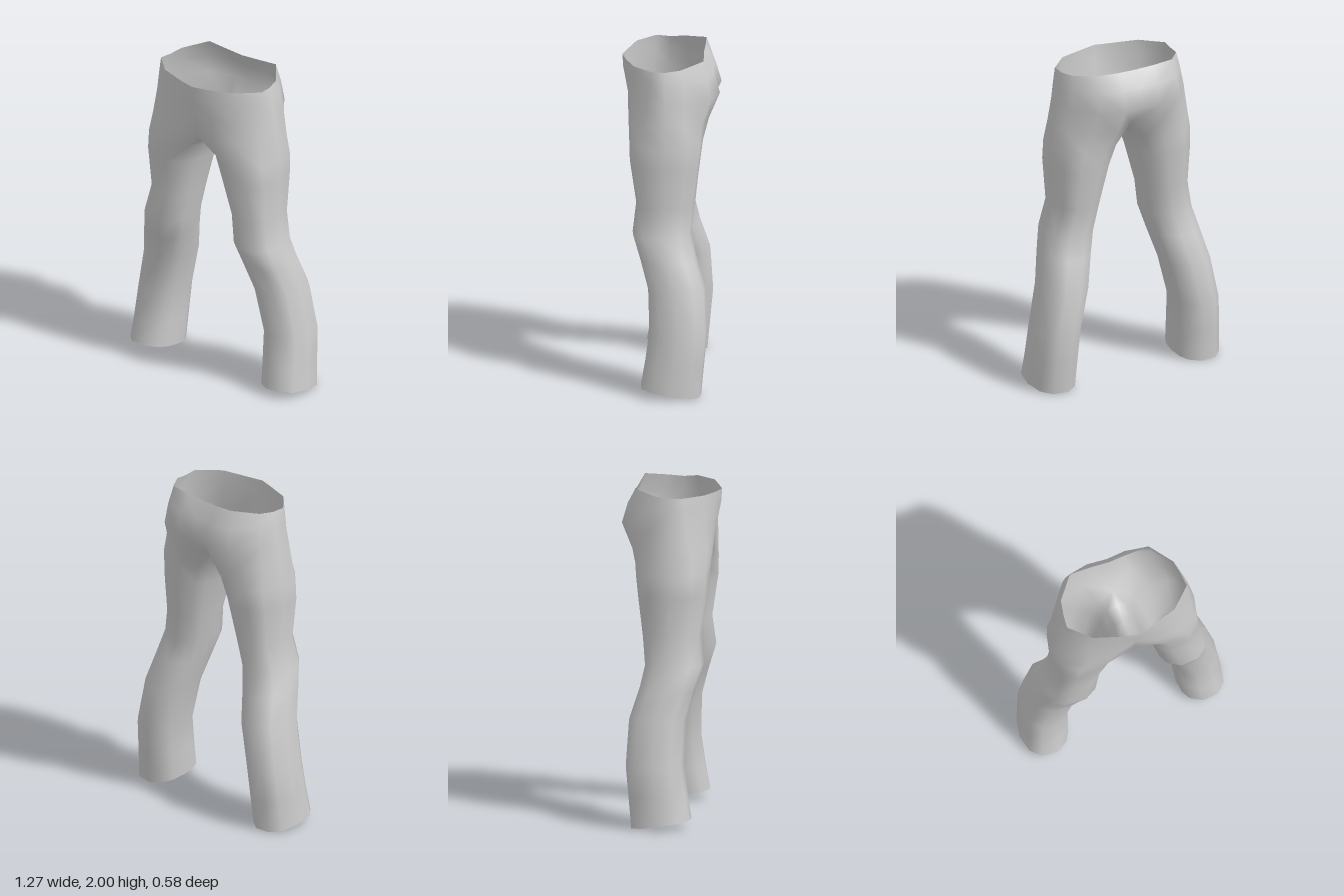
import * as THREE from 'three';
import { mergeVertices } from 'three/addons/utils/BufferGeometryUtils.js';

// Half hip sections, [x, z] from the front seam round the outside to the back seam
const HIPS = [
  { y: [1.965, 1.965, 1.97, 1.97, 1.965, 1.975, 2, 1.99, 1.985],
    p: [[0, .29], [.1, .265], [.26, .215], [.38, .1], [.372, .02], [.355, -.07], [.25, -.2], [.12, -.2], [0, -.195]] },
  { y: 1.89,
    p: [[0, .285], [.11, .26], [.27, .215], [.385, .11], [.395, .02], [.37, -.09], [.27, -.225], [.12, -.26], [0, -.25]] },
  { y: 1.77,
    p: [[0, .255], [.12, .252], [.28, .22], [.39, .125], [.417, .02], [.39, -.1], [.28, -.245], [.12, -.295], [0, -.275]] },
  { y: [1.62, 1.64, 1.64, 1.63, 1.63, 1.63, 1.63, 1.62, 1.62],
    p: [[0, .235], [.12, .25], [.28, .235], [.4, .15], [.44, .03], [.41, -.1], [.3, -.195], [.14, -.23], [0, -.14]] },
];

// Crotch points joining the back seam to the front seam under the body
const CROTCH = [[0, 1.575, -.06], [0, 1.55, .03], [0, 1.565, .14]];

// Leg sections: y, inner x, outer x, front z, back z, slope of the ring along z
const LEG = [
  [1.5, .05, .455, .245, -.2, 0],
  [1.38, .095, .46, .24, -.185, 0],
  [1.13, .16, .447, .2, -.152, 0],
  [.96, .19, .485, .22, -.135, 0],
  [.82, .225, .522, .175, -.165, 0],
  [.64, .275, .562, .125, -.222, 0],
  [.38, .338, .612, .115, -.235, 0],
  [.2, .346, .624, .14, -.218, 0],
  [.034, .354, .637, .165, -.2, .15],
];

const OUTER = 9, RING = 12;

function legRing([y, xi, xo, zf, zb, slope]) {
  const soft = v => Math.sign(v) * Math.abs(v) ** 0.85;
  return Array.from({ length: RING }, (_, i) => {
    // Nine points round the outside, three on the inner side
    const deg = i < OUTER ? 135 - i * 33.75 : -135 - (i - OUTER + 1) * 22.5;
    const a = THREE.MathUtils.degToRad(deg);
    const z = (zf + zb) / 2 + soft(Math.sin(a)) * (zf - zb) / 2;
    return [(xi + xo) / 2 + soft(Math.cos(a)) * (xo - xi) / 2, y + slope * z, z];
  });
}

function trouserGeometry() {
  const hips = HIPS.map(({ y, p }) => p.map(([x, z], i) => [x, Array.isArray(y) ? y[i] : y, z]));
  const legs = [[...hips[hips.length - 1], ...CROTCH], ...LEG.map(legRing)];
  const pos = [];

  // Both halves of one quad, the second mirrored with its winding reversed
  const quad = (a, b, c, d) => {
    const tris = [a, b, c, a, c, d];
    for (const v of tris) pos.push(...v);
    for (const v of tris.reverse()) pos.push(-v[0], v[1], v[2]);
  };
  const skin = (rings, closed) => {
    for (let r = 0; r < rings.length - 1; r++) {
      const up = rings[r], low = rings[r + 1], n = up.length;
      for (let i = 0; i < (closed ? n : n - 1); i++) {
        const j = (i + 1) % n;
        quad(up[i], low[i], low[j], up[j]);
      }
    }
  };
  skin(hips, false);
  skin(legs, true);

  let geo = new THREE.BufferGeometry();
  geo.setAttribute('position', new THREE.Float32BufferAttribute(pos.map(v => v + 0), 3));
  geo = mergeVertices(geo, 1e-4); // welds the seams so shading is smooth across them
  geo.computeVertexNormals();
  return geo;
}

export function createModel() {
  const group = new THREE.Group();
  group.name = 'trousers';
  const cloth = new THREE.MeshStandardMaterial({ color: 0xcccccc, side: THREE.DoubleSide });
  const mesh = new THREE.Mesh(trouserGeometry(), cloth);
  mesh.name = 'trouserCloth';
  group.add(mesh);
  return group;
}
